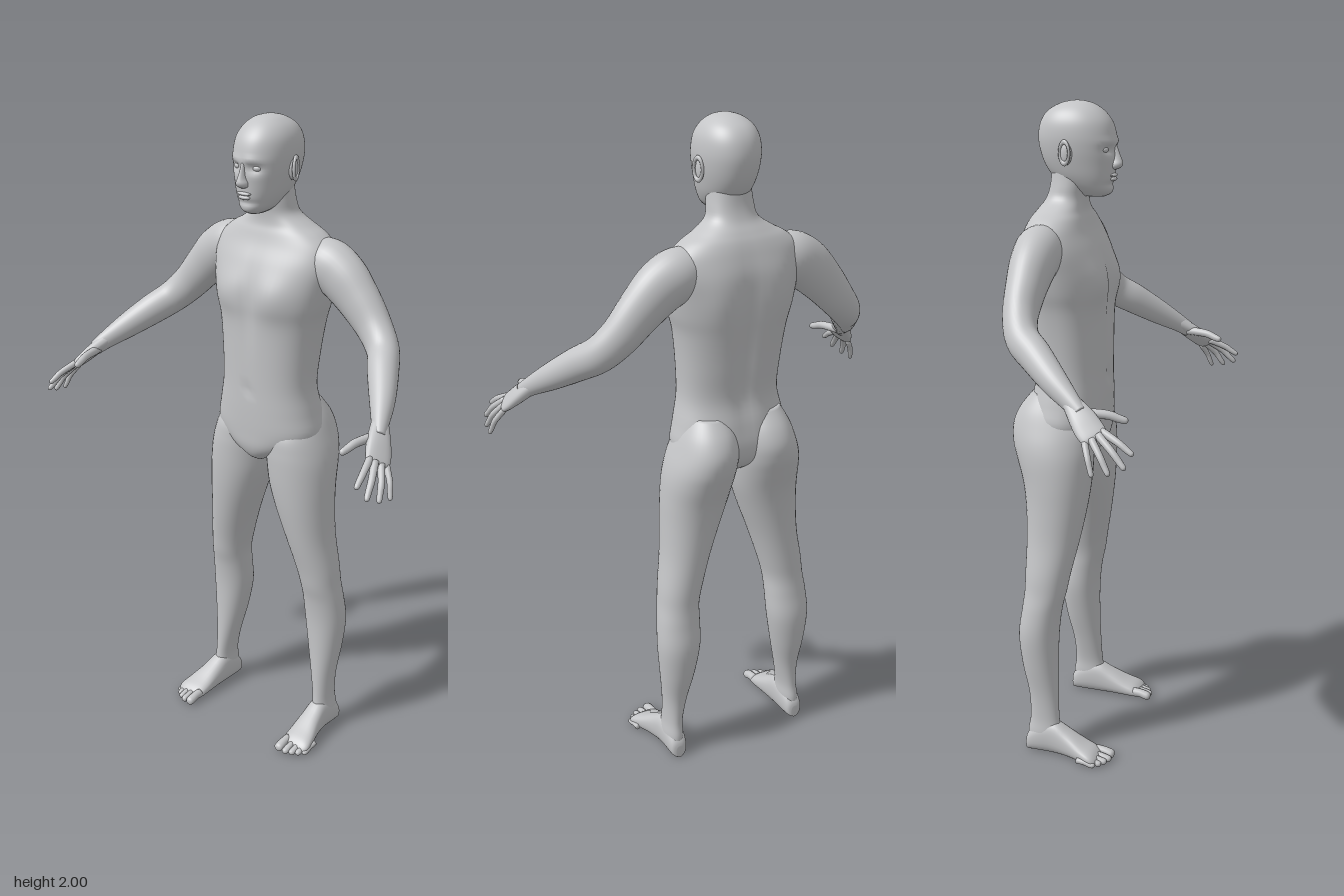
import * as THREE from 'three';

const skin = new THREE.MeshStandardMaterial({ color: 0xc4c5c7 });
skin.name = 'grey skin';

const V = (x, y, z) => new THREE.Vector3(x, y, z);
const bump = (d, s) => Math.exp(-(d * d) / (s * s));

// Smoothly interpolates every column of a table of cross-sections
function refine(rows, sub) {
  const out = [];
  const at = i => rows[Math.min(Math.max(i, 0), rows.length - 1)];
  for (let i = 0; i < rows.length - 1; i++) {
    for (let k = 0; k < sub; k++) {
      const t = k / sub;
      out.push(rows[i].map((p1, c) => {
        const p0 = at(i - 1)[c], p2 = at(i + 1)[c], p3 = at(i + 2)[c];
        return p1 + 0.5 * t * (p2 - p0 + t * (2 * p0 - 5 * p1 + 4 * p2 - p3 + t * (3 * (p1 - p2) + p3 - p0)));
      }));
    }
  }
  out.push(rows[rows.length - 1]);
  return out;
}

// Skins rings {c, u, v}; u x v points along the loft. power > 2 squares the rings
function skinRings(rings, seg = 32, power = 2, warp = null) {
  const pos = [], idx = [];
  const round = s => Math.sign(s) * Math.pow(Math.abs(s), 2 / power);
  const put = p => { if (warp) warp(p); pos.push(p.x, p.y, p.z); };
  for (const { c, u, v } of rings) {
    for (let j = 0; j < seg; j++) {
      const a = (j / seg) * Math.PI * 2;
      put(c.clone().addScaledVector(u, round(Math.cos(a))).addScaledVector(v, round(Math.sin(a))));
    }
  }
  const n = rings.length, first = n * seg, last = first + 1;
  put(rings[0].c.clone());
  put(rings[n - 1].c.clone());
  for (let j = 0; j < seg; j++) {
    const k = (j + 1) % seg;
    for (let i = 0; i < n - 1; i++) {
      const a = i * seg + j, b = i * seg + k;
      idx.push(a, b, a + seg, b, b + seg, a + seg);
    }
    idx.push(first, k, j, last, (n - 1) * seg + j, (n - 1) * seg + k);
  }
  const g = new THREE.BufferGeometry();
  g.setAttribute('position', new THREE.Float32BufferAttribute(pos, 3));
  g.setIndex(idx);
  g.computeVertexNormals();
  return g;
}

// Upright loft, rows from the bottom up: [y, xMin, xMax, zFront, zBack]
const upright = (rows, sub, seg, power, warp) => skinRings(refine(rows, sub).map(([y, x0, x1, zf, zb]) => ({
  c: V((x0 + x1) / 2, y, (zf + zb) / 2), u: V(0, 0, (zf - zb) / 2), v: V((x1 - x0) / 2, 0, 0),
})), seg, power, warp);

// Centred upright loft: [y, halfWidth, zFront, zBack]
const centred = (rows, ...rest) => upright(rows.map(([y, w, f, b]) => [y, -w, w, f, b]), ...rest);

// Limb swept along its own centre line: [x, y, z, radius along ref, other radius]
function limb(rows, ref, sub = 5, seg = 24, power = 2) {
  const pts = refine(rows, sub);
  return skinRings(pts.map((p, i) => {
    const a = pts[Math.max(i - 1, 0)], b = pts[Math.min(i + 1, pts.length - 1)];
    const w = V(b[0] - a[0], b[1] - a[1], b[2] - a[2]).normalize();
    const u = ref.clone().addScaledVector(w, -ref.dot(w)).normalize();
    const v = w.clone().cross(u);
    return { c: V(p[0], p[1], p[2]), u: u.multiplyScalar(p[3]), v: v.multiplyScalar(p[4]) };
  }), seg, power);
}

const blob = (x, y, z, a, b, c) => new THREE.SphereGeometry(1, 20, 14).scale(a, b, c).translate(x, y, z);

function mirrored(geo) {
  const g = geo.clone().scale(-1, 1, 1);
  const ix = g.index.array;
  for (let i = 0; i < ix.length; i += 3) [ix[i + 1], ix[i + 2]] = [ix[i + 2], ix[i + 1]];
  g.computeVertexNormals();
  return g;
}

export function createModel() {
  const root = new THREE.Group();
  root.name = 'human figure';
  const add = (name, geo) => {
    const m = new THREE.Mesh(geo, skin);
    m.name = name;
    root.add(m);
  };
  const pair = (name, geo) => { add(name + ' left', geo); add(name + ' right', mirrored(geo)); };

  // Torso and neck, with chest, navel, spine and shoulder blades
  add('torso', centred([
    [0.945, 0.015, -0.05, -0.13], [0.965, 0.05, -0.02, -0.18], [1.0, 0.13, -0.004, -0.22],
    [1.05, 0.182, 0, -0.235], [1.12, 0.172, 0.002, -0.228], [1.2, 0.156, 0.002, -0.215],
    [1.3, 0.16, 0.003, -0.228], [1.4, 0.172, 0.004, -0.243], [1.46, 0.188, 0.006, -0.25],
    [1.52, 0.2, 0, -0.252], [1.58, 0.21, -0.02, -0.248], [1.63, 0.2, -0.045, -0.235],
    [1.665, 0.163, -0.058, -0.222], [1.69, 0.118, -0.066, -0.207], [1.72, 0.077, -0.066, -0.187],
    [1.76, 0.067, -0.06, -0.174], [1.82, 0.06, -0.05, -0.168],
  ], 5, 64, 2.3, p => {
    const ax = Math.abs(p.x);
    if (p.z > -0.1) {
      p.z += 0.014 * bump(ax - 0.085, 0.06) * bump(p.y - 1.485, 0.06);
      p.z -= 0.008 * bump(ax, 0.02) * bump(p.y - 1.45, 0.12);
      p.z -= 0.008 * bump(ax, 0.014) * bump(p.y - 1.19, 0.014);
    } else {
      p.z += 0.016 * bump(ax, 0.03) * bump(p.y - 1.35, 0.2);
      p.z -= 0.008 * bump(ax - 0.1, 0.05) * bump(p.y - 1.52, 0.09);
    }
  }));

  // Head with eye sockets and temples
  add('head', centred([
    [1.728, 0.02, -0.01, -0.08], [1.738, 0.036, 0.008, -0.1], [1.755, 0.052, 0.014, -0.13],
    [1.785, 0.067, 0.018, -0.168], [1.82, 0.077, 0.021, -0.192], [1.86, 0.085, 0.024, -0.206],
    [1.9, 0.088, 0.022, -0.211], [1.94, 0.083, 0.01, -0.203], [1.97, 0.067, -0.014, -0.182],
    [1.99, 0.042, -0.044, -0.148], [1.998, 0.018, -0.072, -0.118], [2.0, 0.004, -0.09, -0.1],
  ], 5, 64, 2.15, p => {
    if (p.z < -0.06) return;
    const ax = Math.abs(p.x);
    p.z -= 0.013 * bump(ax - 0.033, 0.02) * bump(p.y - 1.863, 0.014);
    p.z += 0.005 * bump(ax - 0.03, 0.03) * bump(p.y - 1.884, 0.01);
    p.z -= 0.006 * bump(ax, 0.04) * bump(p.y - 1.764, 0.008);
  }));
  add('nose', centred([
    [1.806, 0.008, 0.026, 0], [1.812, 0.017, 0.038, 0], [1.822, 0.018, 0.044, 0],
    [1.835, 0.012, 0.041, 0], [1.855, 0.008, 0.033, 0], [1.88, 0.007, 0.024, 0],
  ], 4, 20, 2));
  add('upper lip', blob(0, 1.79, 0.015, 0.025, 0.006, 0.011));
  add('lower lip', blob(0, 1.779, 0.014, 0.021, 0.007, 0.011));
  pair('eye', blob(0.033, 1.863, -0.003, 0.016, 0.01, 0.013));

  // Ears: shell with a raised rim
  pair('ear', blob(0.085, 1.853, -0.1, 0.009, 0.032, 0.018));
  pair('ear rim', new THREE.TorusGeometry(0.021, 0.005, 8, 24).scale(0.8, 1.45, 1)
    .rotateY(Math.PI / 2 + 0.3).translate(0.092, 1.856, -0.103));

  // Legs, from the ankle up to the buttock
  pair('leg', upright([
    [0.03, 0.192, 0.246, -0.09, -0.193], [0.07, 0.187, 0.248, -0.086, -0.194],
    [0.12, 0.187, 0.243, -0.093, -0.187], [0.2, 0.172, 0.245, -0.097, -0.192],
    [0.3, 0.149, 0.257, -0.1, -0.213], [0.4, 0.131, 0.266, -0.099, -0.223],
    [0.48, 0.127, 0.262, -0.09, -0.213], [0.54, 0.124, 0.254, -0.076, -0.206],
    [0.6, 0.11, 0.248, -0.065, -0.206], [0.7, 0.08, 0.233, -0.044, -0.208],
    [0.8, 0.045, 0.227, -0.027, -0.215], [0.88, 0.02, 0.224, -0.018, -0.228],
    [0.95, 0.008, 0.219, -0.014, -0.25], [1.0, 0.004, 0.209, -0.014, -0.265],
    [1.05, 0.004, 0.192, -0.02, -0.268], [1.1, 0.012, 0.172, -0.05, -0.249],
    [1.15, 0.03, 0.145, -0.08, -0.21],
  ], 5, 40, 2.1));

  // Feet, heel to ball: [z, centreX, halfWidth, height]
  pair('foot', skinRings(refine([
    [-0.2, 0.218, 0.012, 0.04], [-0.192, 0.218, 0.026, 0.062], [-0.16, 0.217, 0.032, 0.095],
    [-0.11, 0.217, 0.034, 0.11], [-0.06, 0.221, 0.039, 0.085], [-0.01, 0.228, 0.047, 0.057],
    [0.025, 0.233, 0.05, 0.04], [0.042, 0.233, 0.043, 0.026], [0.048, 0.232, 0.03, 0.016],
  ], 4).map(([z, x, w, h]) => ({ c: V(x, h / 2, z), u: V(w, 0, 0), v: V(0, h / 2, 0) })), 28, 2.4));
  [[0.198, 0.085, 0.014], [0.224, 0.083, 0.0105], [0.244, 0.074, 0.01], [0.261, 0.062, 0.0095], [0.276, 0.046, 0.009]]
    .forEach(([x, z, r], i) => pair('toe ' + (i + 1), limb([
      [x, r + 0.008, z - 0.06, r, r], [x, r + 0.006, z - 0.035, r, r], [x, r, z - 0.012, r, r * 1.1],
      [x, r, z - 0.003, r * 0.75, r * 0.8], [x, r, z, r * 0.2, r * 0.2],
    ], V(0, 1, 0), 3, 14)));

  // Arms, shoulder to wrist
  pair('arm', limb([
    [0.09, 1.605, -0.15, 0.04, 0.045], [0.17, 1.588, -0.148, 0.075, 0.07],
    [0.235, 1.555, -0.147, 0.077, 0.066], [0.3, 1.495, -0.145, 0.067, 0.057],
    [0.36, 1.43, -0.138, 0.057, 0.05], [0.41, 1.38, -0.112, 0.052, 0.047],
    [0.45, 1.342, -0.058, 0.049, 0.045], [0.5, 1.292, 0.012, 0.04, 0.037],
    [0.538, 1.25, 0.073, 0.029, 0.025], [0.558, 1.225, 0.105, 0.024, 0.018],
  ], V(0, 1, 0), 6, 32));

  // Hands: flat palm, four fingers and a thumb
  const across = V(0.035, -0.025, -0.055);
  pair('palm', limb([
    [0.53, 1.258, 0.063, 0.022, 0.018], [0.545, 1.24, 0.085, 0.028, 0.02],
    [0.565, 1.215, 0.115, 0.036, 0.019], [0.582, 1.192, 0.14, 0.039, 0.015],
    [0.593, 1.177, 0.158, 0.036, 0.011], [0.597, 1.172, 0.164, 0.026, 0.006],
  ], across, 4, 24, 2.4));
  const fingers = {
    'index finger': [[0.577, 1.19, 0.172], [0.592, 1.168, 0.222], [0.601, 1.14, 0.266], 0.0098],
    'middle finger': [[0.59, 1.183, 0.166], [0.612, 1.15, 0.21], [0.626, 1.107, 0.252], 0.01],
    'ring finger': [[0.601, 1.173, 0.152], [0.625, 1.137, 0.183], [0.64, 1.091, 0.212], 0.0095],
    'little finger': [[0.608, 1.164, 0.136], [0.631, 1.13, 0.152], [0.646, 1.085, 0.168], 0.0085],
    thumb: [[0.545, 1.225, 0.105], [0.53, 1.222, 0.17], [0.518, 1.205, 0.226], 0.0125],
  };
  for (const [name, [base, mid, tip, r]] of Object.entries(fingers)) {
    const mix = (t, s) => [...mid.map((m, i) => m + (tip[i] - m) * t), r * s, r * s];
    pair(name, limb([[...base, r * 1.1, r * 1.1], mix(0, 1), mix(0.55, 0.9), mix(0.88, 0.75),
      mix(0.97, 0.45), mix(1, 0.1)], across, 4, 14));
  }
  return root;
}
